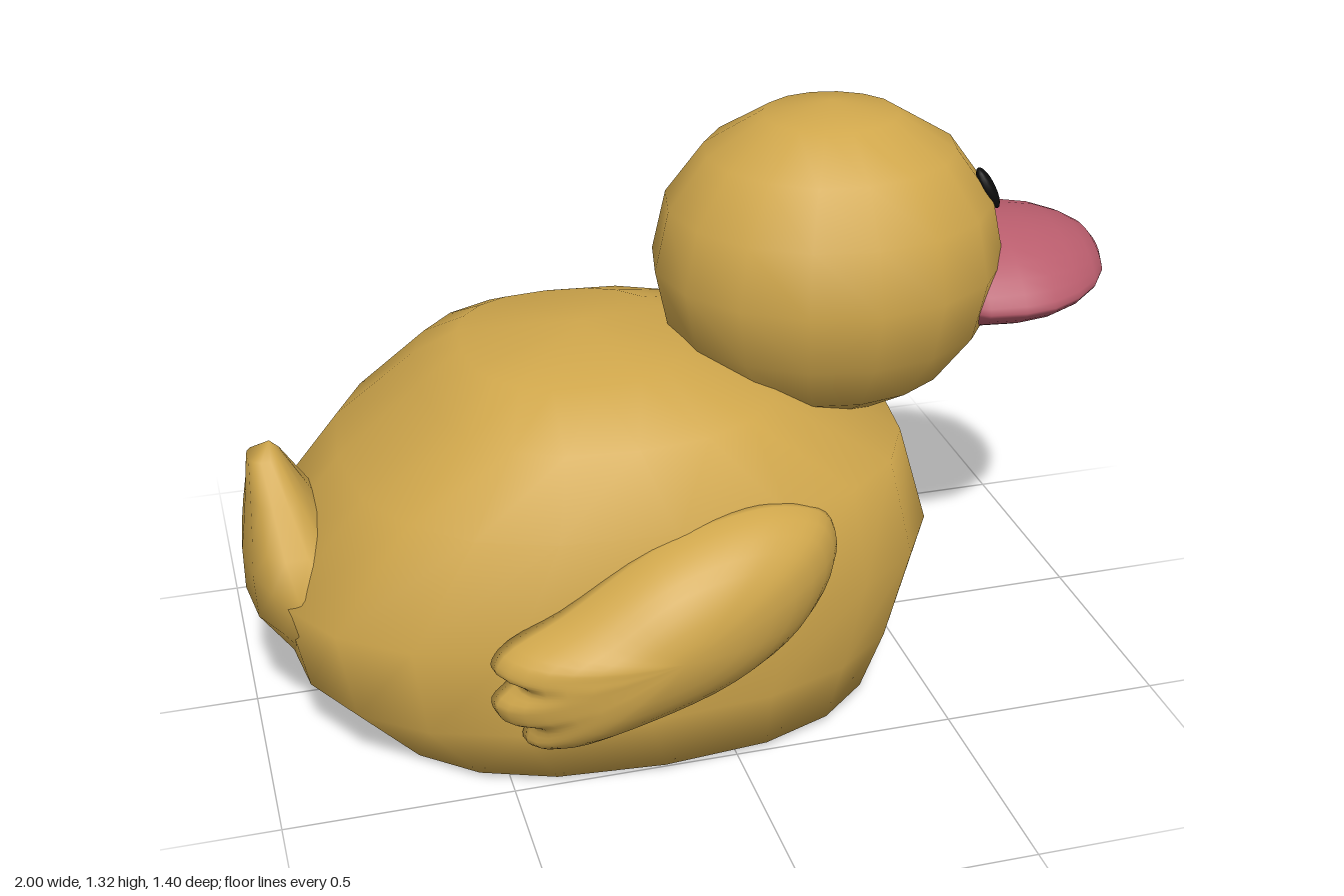
import * as THREE from 'three';

const yellow = new THREE.MeshStandardMaterial({ color: 0xd0a74c });
const pink = new THREE.MeshStandardMaterial({ color: 0xb85c6c });
const black = new THREE.MeshStandardMaterial({ color: 0x0c0c0c });
const V = (x, y, z) => new THREE.Vector3(x, y, z);

// Skin over a stack of equal rings, closed with a point at each end
function loft(rings, start, end) {
  const n = rings[0].length, pts = [...rings.flat(), start, end], index = [];
  const s = pts.length - 2, e = s + 1, last = (rings.length - 1) * n;
  for (let j = 0; j < n; j++) {
    const k = (j + 1) % n;
    for (let i = 0; i < rings.length - 1; i++) {
      const a = i * n, b = a + n;
      index.push(a + j, a + k, b + k, a + j, b + k, b + j);
    }
    index.push(s, k, j, e, last + j, last + k);
  }
  const g = new THREE.BufferGeometry().setFromPoints(pts);
  g.setIndex(index);
  g.computeVertexNormals();
  return g;
}

// Horizontal squarish-oval ring: height, back x, front x, half width
function layer([y, x0, x1, w], sides, power) {
  const sq = (v) => Math.sign(v) * Math.abs(v) ** (2 / power);
  return Array.from({ length: sides }, (_, i) => {
    const a = (i / sides) * Math.PI * 2;
    return V((x0 + x1) / 2 + ((x1 - x0) / 2) * sq(Math.cos(a)), y, -w * sq(Math.sin(a)));
  });
}

function add(group, name, geometry, material) {
  const mesh = new THREE.Mesh(geometry, material);
  mesh.name = name;
  group.add(mesh);
  return mesh;
}

function bodyGeometry() {
  const layers = [
    [0.015, -0.775, 0.44, 0.515], [0.16, -0.92, 0.5, 0.55], [0.37, -0.965, 0.56, 0.565],
    [0.6, -0.775, 0.49, 0.53], [0.75, -0.59, 0.2, 0.425], [0.825, -0.49, 0.0, 0.26],
  ];
  return loft(layers.map((l) => layer(l, 20, 2.5)), V(-0.2, 0, 0), V(-0.22, 0.86, 0));
}

function tailGeometry() {
  const layers = [
    [0.17, -0.92, -0.6, 0.2], [0.3, -1, -0.64, 0.27], [0.4, -1, -0.74, 0.26],
    [0.47, -0.99, -0.805, 0.21], [0.55, -0.98, -0.85, 0.12], [0.63, -0.972, -0.895, 0.045],
  ];
  return loft(layers.map((l) => layer(l, 14, 2.3)), V(-0.76, 0.14, 0), V(-0.92, 0.66, 0));
}

// Domed wing whose feather notches fade out towards the middle
function wingGeometry(side) {
  const edge = [
    [0.225, 0.48], [0.2, 0.575], [0.1, 0.62], [-0.02, 0.622], [-0.2, 0.575], [-0.4, 0.46],
    [-0.53, 0.395], [-0.548, 0.355], [-0.5, 0.33], [-0.55, 0.28], [-0.535, 0.235], [-0.475, 0.22],
    [-0.485, 0.165], [-0.43, 0.145], [-0.25, 0.165], [0, 0.235], [0.16, 0.345],
  ];
  const plain = edge.map((p) => [...p]);
  plain[8] = [-0.565, 0.315];
  plain[11] = [-0.525, 0.2];
  const curve = (list) => new THREE.CatmullRomCurve3(list.map(([x, y]) => V(x, y, 0)), true);
  const notched = curve(edge), smooth = curve(plain), n = 68;
  const cx = -0.17, cy = 0.39;
  const baseZ = (x) => 0.5 - 0.11 * (x - cx);
  const rings = [];
  for (let i = 0; i < 9; i++) {
    const a = (i / 9) * Math.PI / 2, r = Math.cos(a);
    const ring = Array.from({ length: n }, (_, j) => {
      const p = smooth.getPoint(j / n).lerp(notched.getPoint(j / n), r ** 4);
      const x = cx + (p.x - cx) * r, y = cy + (p.y - cy) * r;
      return V(x, y, side * (baseZ(x) + 0.193 * Math.sin(a)));
    });
    rings.push(side > 0 ? ring : ring.reverse());
  }
  return loft(rings, V(cx, cy, side * 0.44), V(cx, cy, side * 0.693));
}

// Bill: x, half width, height above and below the lip line, lip height
function billGeometry() {
  const stations = [
    [0.58, 0.2, 0.1, 0.08, 0.875], [0.65, 0.25, 0.135, 0.09, 0.875], [0.73, 0.265, 0.145, 0.093, 0.877],
    [0.8, 0.26, 0.138, 0.09, 0.88], [0.87, 0.23, 0.122, 0.083, 0.885], [0.93, 0.184, 0.094, 0.068, 0.892],
    [0.97, 0.13, 0.064, 0.05, 0.9], [0.992, 0.07, 0.032, 0.028, 0.906],
  ];
  const rings = stations.map(([x, w, up, down, lip]) => Array.from({ length: 32 }, (_, i) => {
    const a = (i / 32) * Math.PI * 2, c = Math.cos(a);
    const y = lip + (c > 0 ? up : -down) * Math.abs(c) ** 1.4;
    return V(x, y, w * Math.sin(a));
  }));
  return loft(rings, V(0.56, 0.88, 0), V(1, 0.908, 0));
}

export function createModel() {
  const duck = new THREE.Group();
  duck.name = 'duck';
  add(duck, 'body', bodyGeometry(), yellow);
  add(duck, 'tail', tailGeometry(), yellow);

  const head = add(duck, 'head', new THREE.SphereGeometry(1, 16, 8), yellow);
  head.scale.set(0.4, 0.362, 0.365);
  head.position.set(0.35, 0.957, 0);

  add(duck, 'bill', billGeometry(), pink);

  for (const side of [1, -1]) {
    add(duck, side > 0 ? 'leftWing' : 'rightWing', wingGeometry(side), yellow);
    // Flat oval eye lying on the head
    const eye = add(duck, side > 0 ? 'leftEye' : 'rightEye', new THREE.SphereGeometry(1, 16, 10), black);
    eye.scale.set(0.028, 0.052, 0.016);
    eye.position.set(0.685, 1.12, side * 0.107);
    eye.lookAt(0.685 + 2.1, 1.12 + 1.22, side * (0.107 + 0.8));
  }
  return duck;
}
